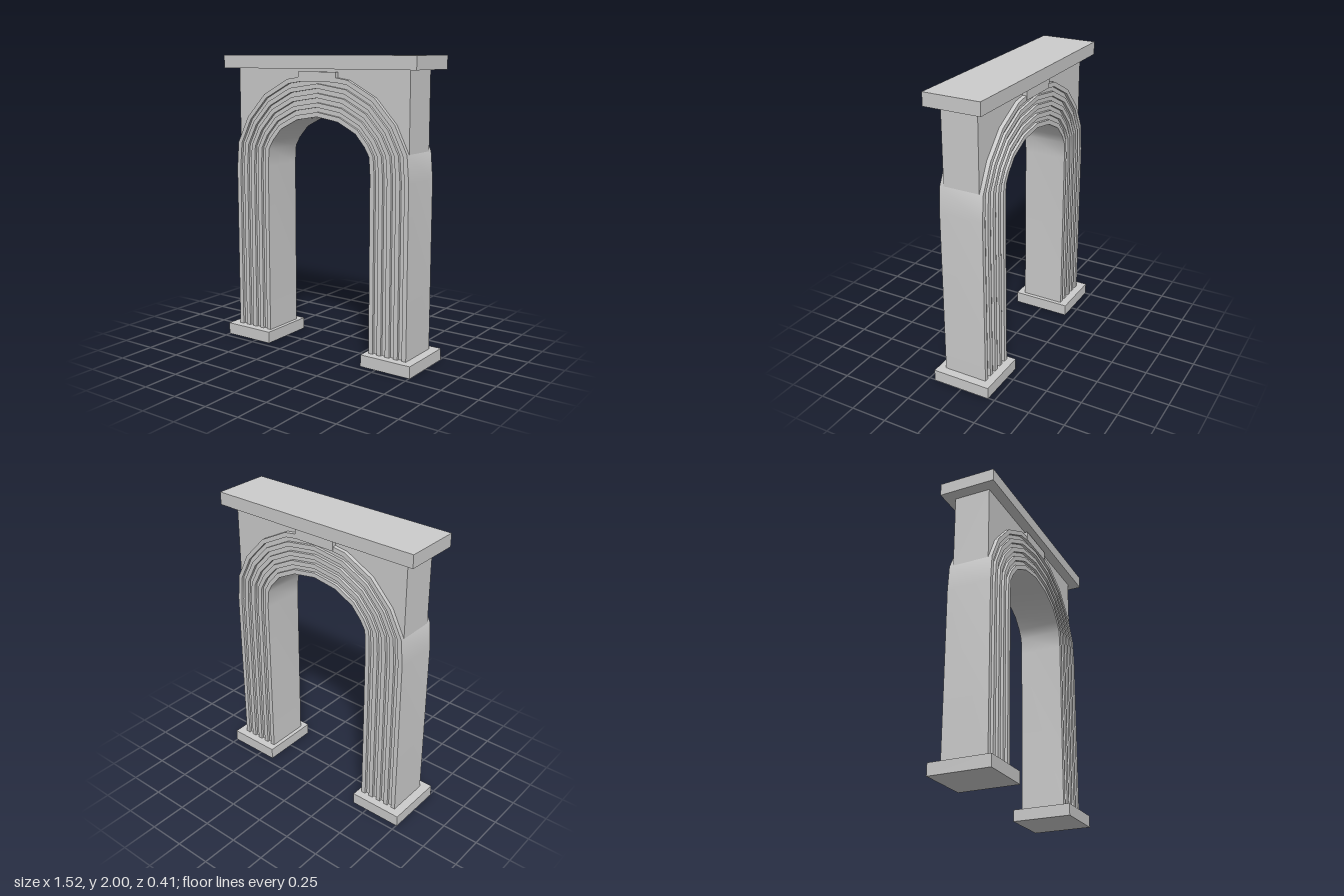
import * as THREE from 'three';
import { toCreasedNormals } from 'three/addons/utils/BufferGeometryUtils.js';

const grey = new THREE.MeshStandardMaterial({ color: 0xcccccc });

// Half of the arch from the foot to the crown: outer and inner edges [x, y]
const OUTER = [[0.695, 0.07], [0.695, 1.22], [0.68, 1.4], [0.59, 1.58], [0.44, 1.74], [0.24, 1.845], [0, 1.88]];
const INNER = [[0.413, 0.07], [0.413, 1.25], [0.405, 1.37], [0.37, 1.43], [0.3, 1.51], [0.165, 1.578], [0, 1.605]];

// Mirror a half path into a full one running from +x over the crown to -x
const full = (half) => [...half, ...half.slice(0, -1).reverse().map(([x, y]) => [-x, y])];
const outer = full(OUTER), inner = full(INNER);
const between = (i, t) => [0, 1].map((k) => inner[i][k] + (outer[i][k] - inner[i][k]) * t);

function add(group, name, geometry, x = 0, y = 0, z = 0) {
  const mesh = new THREE.Mesh(geometry, grey);
  mesh.name = name;
  mesh.position.set(x, y, z);
  group.add(mesh);
  return mesh;
}

// Cross-section of the moulding: [t from inner to outer edge, z], five ridges and four grooves
function mouldingProfile() {
  const front = [], strips = 9;
  for (let i = 0; i < strips; i++) {
    const z = i % 2 ? 0.134 : 0.152;
    front.push([i / strips, z], [(i + 1) / strips, z]);
  }
  return [...front, ...front.slice().reverse().map(([t, z]) => [t, -z])];
}

// Sweep the cross-section along the arch
function archGeometry() {
  const profile = mouldingProfile(), n = profile.length;
  const positions = [], index = [];
  outer.forEach((_, i) => profile.forEach(([t, z]) => positions.push(...between(i, t), z)));
  for (let i = 0; i < outer.length - 1; i++) {
    for (let j = 0; j < n; j++) {
      const a = i * n + j, b = i * n + (j + 1) % n, c = a + n, d = b + n;
      index.push(a, b, c, b, d, c);
    }
  }
  const geometry = new THREE.BufferGeometry();
  geometry.setAttribute('position', new THREE.Float32BufferAttribute(positions, 3));
  geometry.setIndex(index);
  return toCreasedNormals(geometry, 0.85);
}

// Wall above the arch, its lower edge hidden inside the moulding
function wallGeometry() {
  const shape = new THREE.Shape();
  shape.moveTo(-0.68, 1.92);
  shape.lineTo(-0.68, 1.39);
  for (let i = outer.length - 3; i >= 2; i--) shape.lineTo(...between(i, 0.6));
  shape.lineTo(0.68, 1.39);
  shape.lineTo(0.68, 1.92);
  shape.closePath();
  return new THREE.ExtrudeGeometry(shape, { depth: 0.25, bevelEnabled: false }).translate(0, 0, -0.125);
}

export function createModel() {
  const model = new THREE.Group();
  model.name = 'archway';
  add(model, 'archMoulding', archGeometry());
  add(model, 'spandrelWall', wallGeometry());
  add(model, 'topSlab', new THREE.BoxGeometry(1.52, 0.087, 0.388), 0, 1.9565, 0);
  add(model, 'keystone', new THREE.BoxGeometry(0.3, 0.065, 0.312), 0, 1.8625, 0);
  for (const side of [1, -1]) {
    add(model, side > 0 ? 'leftBase' : 'rightBase', new THREE.BoxGeometry(0.37, 0.08, 0.41), side * 0.57, 0.04, 0);
  }
  return model;
}
